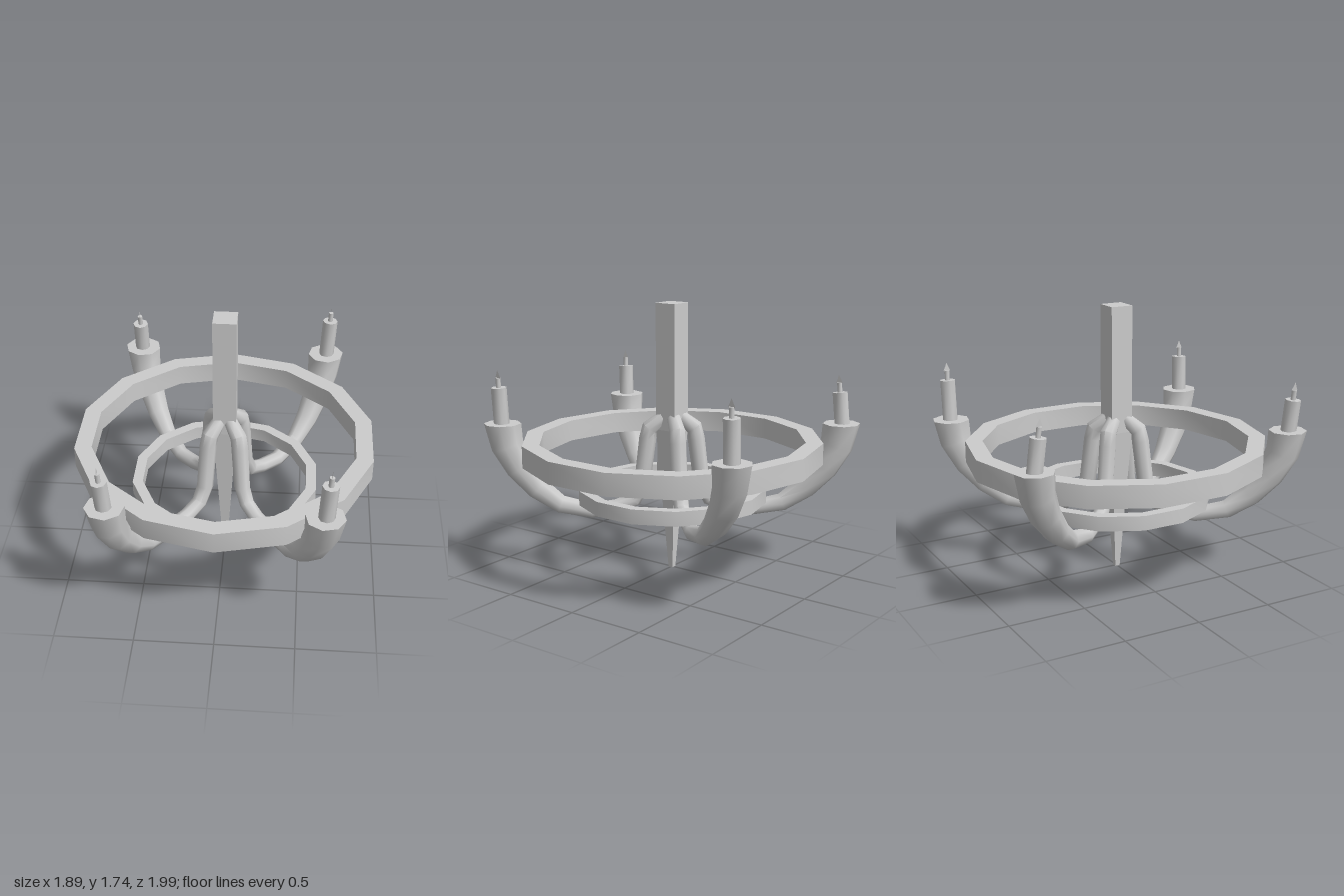
import * as THREE from 'three';
import { toCreasedNormals } from 'three/addons/utils/BufferGeometryUtils.js';

const smooth = new THREE.MeshStandardMaterial({ color: 0xcccccc });
const flat = new THREE.MeshStandardMaterial({ color: 0xcccccc, flatShading: true });
const thin = new THREE.MeshStandardMaterial({ color: 0xcccccc, side: THREE.DoubleSide });
const UP = new THREE.Vector3(0, 1, 0);

function part(name, geometry, material = smooth) {
  const mesh = new THREE.Mesh(geometry, material);
  mesh.name = name;
  return mesh;
}

// Fourteen-sided hoop with a rectangular section
function hoop(name, inner, outer, y0, y1) {
  const profile = [[inner, y0], [outer, y0], [outer, y1], [inner, y1], [inner, y0]]
    .map(([r, y]) => new THREE.Vector2(r, y));
  return part(name, toCreasedNormals(new THREE.LatheGeometry(profile, 14), 0.6));
}

// Arm stations from post to cup: x, y, z, radius
const ARM = [
  [0.035, 1.01, 0.04, 0.045], [0.09, 0.94, 0.11, 0.054], [0.1, 0.87, 0.12, 0.055],
  [0.12, 0.57, 0.15, 0.053], [0.155, 0.465, 0.19, 0.05], [0.225, 0.42, 0.275, 0.048],
  [0.33, 0.395, 0.395, 0.05], [0.445, 0.435, 0.565, 0.06], [0.525, 0.54, 0.69, 0.077],
  [0.585, 0.675, 0.79, 0.093], [0.625, 0.82, 0.855, 0.107], [0.64, 0.967, 0.878, 0.12],
];

// Capped eight-sided tube with changing radius
function armGeometry(sx, sz) {
  const sides = 8, n = ARM.length;
  const centres = ARM.map(([x, y, z]) => new THREE.Vector3(x * sx, y, z * sz));
  const side = new THREE.Vector3().crossVectors(UP, new THREE.Vector3(0.59 * sx, 0, 0.81 * sz)).normalize();
  const pos = [], index = [];
  centres.forEach((c, i) => {
    const t = i === n - 1 ? UP.clone()
      : centres[i + 1].clone().sub(centres[Math.max(i - 1, 0)]);
    t.addScaledVector(side, -t.dot(side)).normalize();
    const normal = new THREE.Vector3().crossVectors(t, side);
    for (let j = 0; j < sides; j++) {
      const a = j / sides * Math.PI * 2;
      const p = c.clone()
        .addScaledVector(normal, Math.cos(a) * ARM[i][3])
        .addScaledVector(side, -Math.sin(a) * ARM[i][3]);
      pos.push(p.x, p.y, p.z);
    }
  });
  const first = n * sides, last = first + 1, top = (n - 1) * sides;
  pos.push(...centres[0].toArray(), ...centres[n - 1].toArray());
  for (let j = 0; j < sides; j++) {
    const k = (j + 1) % sides;
    for (let i = 0; i < n - 1; i++) {
      const a = i * sides + j, b = i * sides + k;
      index.push(a, b, b + sides, a, b + sides, a + sides);
    }
    index.push(first, k, j, last, top + j, top + k);
  }
  const g = new THREE.BufferGeometry();
  g.setAttribute('position', new THREE.Float32BufferAttribute(pos, 3));
  g.setIndex(index);
  return toCreasedNormals(g, 0.9);
}

// Leaning candle with a wick and a flat flame
function candle(height, leanX, leanZ) {
  const group = new THREE.Group();
  group.name = 'candle';
  const body = part('candleStick', toCreasedNormals(new THREE.CylinderGeometry(0.05, 0.05, height + 0.02, 8), 0.9));
  body.position.y = height / 2 - 0.01;
  const wick = part('wick', toCreasedNormals(new THREE.CylinderGeometry(0.016, 0.016, 0.065, 8), 0.9));
  wick.position.y = height + 0.03;
  const outline = [[0, 0], [0.022, 0.03], [0.01, 0.055], [0, 0.08], [-0.01, 0.055], [-0.022, 0.03]]
    .map(([x, y]) => new THREE.Vector2(x, y));
  const flame = part('flame', new THREE.ShapeGeometry(new THREE.Shape(outline)), thin);
  flame.rotation.y = Math.PI / 2;
  flame.position.y = height + 0.033;
  group.add(body, wick, flame);
  group.rotation.set(leanZ, 0, -leanX);
  return group;
}

export function createModel() {
  const model = new THREE.Group();
  model.name = 'chandelier';

  // Square post tapering to a narrow foot
  const profile = [[0, 0], [0.016, 0], [0.073, 0.93], [0.073, 1.74], [0, 1.74]]
    .map(([h, y]) => new THREE.Vector2(h * Math.SQRT2, y));
  const post = part('post', new THREE.LatheGeometry(profile, 4), flat);
  post.rotation.y = Math.PI / 4;
  model.add(post);

  model.add(hoop('outerRing', 0.857, 0.967, 0.735, 0.875));
  model.add(hoop('innerRing', 0.545, 0.612, 0.467, 0.56));

  // Four arms, each with a candle: side signs, candle height and lean
  const arms = [
    ['frontLeft', 1, 1, 0.235, 0.05, 0.02], ['backLeft', 1, -1, 0.26, 0.05, -0.01],
    ['frontRight', -1, 1, 0.2, -0.06, 0.08], ['backRight', -1, -1, 0.2, -0.02, 0.12],
  ];
  for (const [name, sx, sz, height, leanX, leanZ] of arms) {
    const arm = new THREE.Group();
    arm.name = name + 'Arm';
    const stick = candle(height, leanX, leanZ);
    stick.position.set(sx * 0.645, 0.967, sz * 0.88);
    arm.add(part('armAndCup', armGeometry(sx, sz)), stick);
    model.add(arm);
  }
  return model;
}
